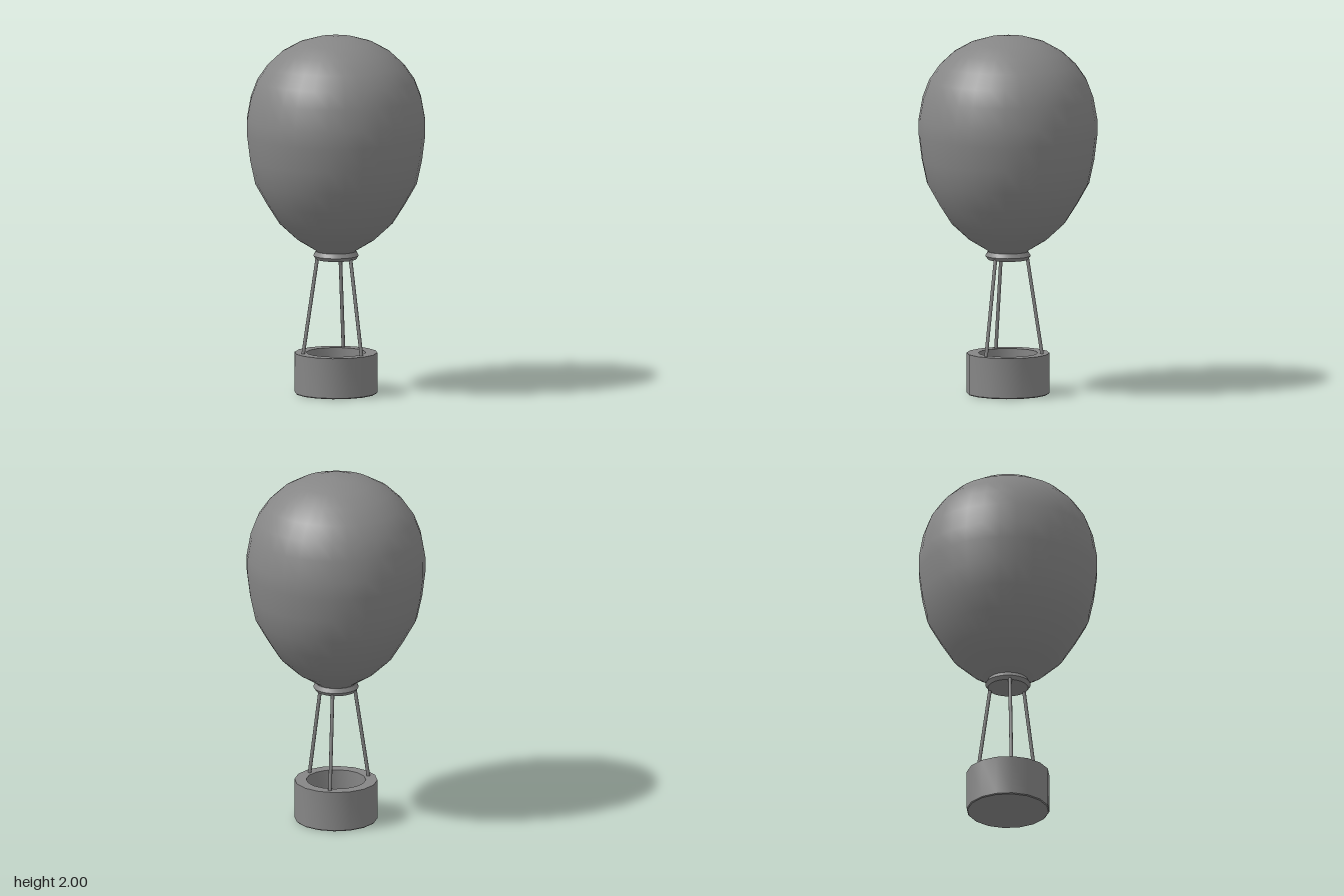
import * as THREE from 'three';
import { toCreasedNormals } from 'three/addons/utils/BufferGeometryUtils.js';

const material = new THREE.MeshStandardMaterial({ color: 0x868686 });

function addMesh(parent, name, geometry) {
  const mesh = new THREE.Mesh(geometry, material);
  mesh.name = name;
  parent.add(mesh);
}

// Profile points are [radius, height], from bottom to top on the outside
function lathe(profile, segments) {
  return new THREE.LatheGeometry(profile.map(([r, y]) => new THREE.Vector2(r, y)), segments);
}

// Straight rod between two points
function rod(from, to, radius) {
  const axis = to.clone().sub(from);
  const geometry = new THREE.CylinderGeometry(radius, radius, axis.length(), 10);
  geometry.applyQuaternion(new THREE.Quaternion().setFromUnitVectors(
    new THREE.Vector3(0, 1, 0), axis.normalize()));
  const mid = from.clone().add(to).multiplyScalar(0.5);
  return geometry.translate(mid.x, mid.y, mid.z);
}

export function createModel() {
  const group = new THREE.Group();
  group.name = 'hotAirBalloon';

  // Envelope, narrowing to the neck, with a level crown
  addMesh(group, 'envelope', lathe([
    [0.1, 0.785], [0.115, 0.803], [0.217, 0.865], [0.315, 0.955], [0.385, 1.065],
    [0.45, 1.18], [0.478, 1.31], [0.495, 1.445], [0.495, 1.538], [0.473, 1.66],
    [0.437, 1.755], [0.38, 1.837], [0.302, 1.91], [0.207, 1.963], [0.107, 1.992],
    [0.015, 2], [0, 2],
  ], 32));

  // Neck collar with a closed underside
  addMesh(group, 'collar', toCreasedNormals(lathe([
    [0, 0.752], [0.112, 0.752], [0.126, 0.772], [0.112, 0.796], [0.09, 0.796],
  ], 32), 0.6));

  // Open basket: underside, outer wall, rim, inner wall, floor
  addMesh(group, 'basket', toCreasedNormals(lathe([
    [0, 0], [0.225, 0], [0.23, 0.005], [0.23, 0.228], [0.165, 0.228], [0.165, 0.03], [0, 0.03],
  ], 16), 0.6));

  // Three ropes, evenly spaced, leaning in towards the collar
  for (let i = 0; i < 3; i++) {
    const angle = Math.PI + (i * Math.PI * 2) / 3;
    const at = (r, y) => new THREE.Vector3(r * Math.cos(angle), y, r * Math.sin(angle));
    addMesh(group, 'rope' + (i + 1), rod(at(0.195, 0.2), at(0.107, 0.772), 0.01));
  }

  return group;
}
